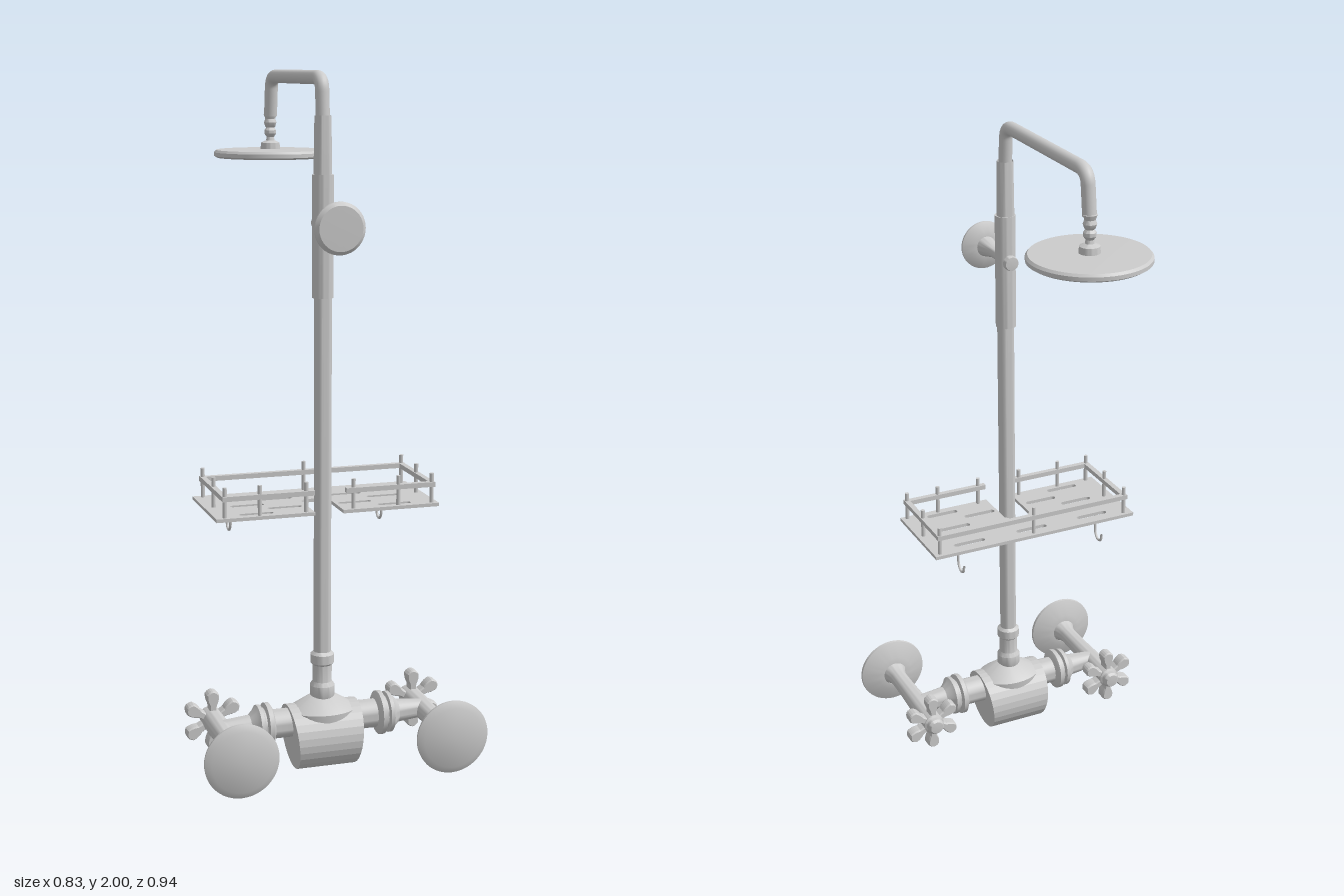
import * as THREE from 'three';
import { toCreasedNormals } from 'three/addons/utils/BufferGeometryUtils.js';

const material = new THREE.MeshStandardMaterial({ color: 0xcccccc, side: THREE.DoubleSide });
const CX = -0.005; // column x
const CZ = 0.225;  // column z
const LEG_Y = 0.14;

function add(parent, name, geometry, x = 0, y = 0, z = 0) {
  const mesh = new THREE.Mesh(geometry, material);
  mesh.name = name;
  mesh.position.set(x, y, z);
  parent.add(mesh);
  return mesh;
}

// Turned part: profile is [radius, distance along the axis]
function turned(profile, axis = 'y', sides = 32) {
  const points = profile.map(([r, t]) => new THREE.Vector2(r, t));
  const g = new THREE.LatheGeometry(points, sides);
  if (axis === 'z') g.rotateX(Math.PI / 2);
  if (axis === 'x') g.rotateZ(-Math.PI / 2);
  return toCreasedNormals(g, 0.6);
}

function addColumn(root) {
  const column = new THREE.Group();
  column.name = 'column';
  root.add(column);
  add(column, 'riserPipe', turned([[0.025, 0.3], [0.025, 1.4]]), CX, 0, CZ);
  add(column, 'baseCollars', turned([
    [0.028, 0.2], [0.036, 0.22], [0.036, 0.25], [0.028, 0.262], [0.028, 0.312],
    [0.034, 0.318], [0.034, 0.344], [0.025, 0.352],
  ]), CX, 0, CZ);
  add(column, 'sleeve', turned([
    [0.024, 1.38], [0.03, 1.38], [0.03, 1.72], [0.024, 1.72],
  ]), CX, 0, CZ - 0.002);
  add(column, 'upperPipe', turned([[0.026, 1.7], [0.0235, 1.88]]), CX, 0, CZ - 0.005);

  // Overhead arm with a tight elbow at each end
  const v = (y, z) => new THREE.Vector3(CX, y, z);
  const path = new THREE.CurvePath();
  path.add(new THREE.LineCurve3(v(1.86, 0.22), v(1.945, 0.213)));
  path.add(new THREE.QuadraticBezierCurve3(v(1.945, 0.213), v(1.982, 0.21), v(1.982, 0.17)));
  path.add(new THREE.LineCurve3(v(1.982, 0.17), v(1.982, -0.24)));
  path.add(new THREE.QuadraticBezierCurve3(v(1.982, -0.24), v(1.982, -0.285), v(1.945, -0.289)));
  path.add(new THREE.LineCurve3(v(1.945, -0.289), v(1.865, -0.299)));
  add(column, 'overheadArm', new THREE.TubeGeometry(path, 120, 0.0195, 20));
}

function addShowerHead(root) {
  add(root, 'swivelJoint', turned([
    [0, 1.875], [0.02, 1.87], [0.015, 1.856], [0.019, 1.845], [0.015, 1.833], [0.012, 1.83],
    [0.018, 1.822], [0.018, 1.812], [0.011, 1.802], [0.013, 1.792], [0.028, 1.785], [0.03, 1.764],
  ].reverse()), CX, 0, -0.302);
  add(root, 'showerHead', turned([
    [0, 1.741], [0.162, 1.741], [0.17, 1.746], [0.17, 1.757], [0.164, 1.764], [0, 1.767],
  ], 'y', 64), CX, 0, -0.302);
}

function addWallBracket(root) {
  const bracket = new THREE.Group();
  bracket.name = 'wallBracket';
  bracket.position.set(CX, 1.585, 0);
  root.add(bracket);
  add(bracket, 'bracketStem', turned([
    [0, 0.174], [0.02, 0.176], [0.022, 0.182], [0.022, 0.192], [0.017, 0.198],
    [0.017, 0.3], [0.031, 0.358],
  ], 'z'));
  add(bracket, 'bracketFlange', turned([
    [0.03, 0.355], [0.047, 0.357], [0.072, 0.37], [0.072, 0.376], [0.062, 0.386], [0, 0.387],
  ], 'z', 40));
}

function addShelf(root) {
  const shelf = new THREE.Group();
  shelf.name = 'shelf';
  root.add(shelf);

  // Slotted plate, notched around the column
  const outline = [
    [-0.333, 0.01], [0.325, 0.01], [0.325, 0.29], [0.037, 0.29], [0.037, 0.155],
    [0.024, 0.138], [-0.034, 0.138], [-0.047, 0.155], [-0.047, 0.29], [-0.333, 0.29],
  ];
  const shape = new THREE.Shape(outline.map(([x, z]) => new THREE.Vector2(x, -z)));
  const rows = [
    [0.052, [-0.21, -0.005, 0.2]], [0.108, [-0.113, 0.098]], [0.16, [-0.21, 0.2]],
    [0.21, [-0.113, 0.096]], [0.258, [-0.21, 0.2]],
  ];
  for (const [z, xs] of rows) for (const x of xs) {
    const slot = new THREE.Path();
    slot.absarc(x + 0.041, -z, 0.009, -Math.PI / 2, Math.PI / 2, false);
    slot.absarc(x - 0.041, -z, 0.009, Math.PI / 2, Math.PI * 1.5, false);
    slot.closePath();
    shape.holes.push(slot);
  }
  const plate = new THREE.ExtrudeGeometry(shape, { depth: 0.01, bevelEnabled: false, curveSegments: 8 });
  plate.rotateX(-Math.PI / 2);
  add(shelf, 'shelfPlate', plate, 0, 0.774, 0);

  // Guard rails: [centre x, centre z, length x, length z]
  const rails = [
    [0, 0.025, 0.63, 0.016], [-0.306, 0.152, 0.016, 0.27], [0.306, 0.152, 0.016, 0.27],
    [-0.18, 0.278, 0.266, 0.016], [0.18, 0.278, 0.266, 0.016],
  ];
  for (const [x, z, w, d] of rails) {
    add(shelf, 'guardRail', new THREE.BoxGeometry(w, 0.014, d), x, 0.838, z);
  }
  const posts = [[-0.306, 0.025], [0, 0.025], [0.306, 0.025], [-0.306, 0.152], [0.306, 0.152]];
  for (const x of [-0.306, -0.205, -0.07, 0.07, 0.205, 0.306]) posts.push([x, 0.278]);
  for (const [x, z] of posts) {
    add(shelf, 'railPost', new THREE.CylinderGeometry(0.006, 0.006, 0.092, 10), x, 0.824, z);
  }

  // Hooks hanging under the plate
  for (const x of [-0.238, 0.225]) {
    const hook = new THREE.CatmullRomCurve3([
      [0.776, 0.08], [0.735, 0.08], [0.705, 0.077], [0.69, 0.062], [0.695, 0.043], [0.715, 0.037],
    ].map(([y, z]) => new THREE.Vector3(x, y, z)));
    add(shelf, 'hook', new THREE.TubeGeometry(hook, 28, 0.004, 8));
  }
}

function addValve(root) {
  // Barrel lying across, its ends leaning in towards the bottom
  const barrel = new THREE.CylinderGeometry(0.095, 0.095, 0.2, 28);
  barrel.rotateZ(Math.PI / 2);
  const p = barrel.attributes.position;
  for (let i = 0; i < p.count; i++) p.setX(i, p.getX(i) * (0.96 + 1.0 * p.getY(i)));
  add(root, 'valveBody', toCreasedNormals(barrel, 0.15), CX, 0.1, CZ);
  const neck = add(root, 'valveNeck', turned([
    [0, 0.14], [0.1, 0.145], [0.103, 0.18], [0.034, 0.222], [0, 0.222],
  ]), CX, 0, CZ);
  neck.scale.z = 0.75;
}

// One side inlet: cross pipe, wall leg, flange and cross handle
function addInlet(root, side) {
  const inlet = new THREE.Group();
  inlet.name = side > 0 ? 'leftInlet' : 'rightInlet';
  inlet.position.set(side * 0.31, LEG_Y, 0);
  root.add(inlet);

  const pipe = add(inlet, 'crossPipe', turned([
    [0.042, 0.07], [0.042, 0.156], [0.056, 0.16], [0.064, 0.165], [0.064, 0.178], [0.05, 0.182],
    [0.05, 0.187], [0.06, 0.191], [0.06, 0.202], [0.048, 0.21], [0.034, 0.225], [0.026, 0.31],
  ], 'x'), -side * 0.31, 0.004, CZ);
  if (side < 0) pipe.rotation.y = Math.PI;

  add(inlet, 'wallLeg', turned([
    [0, 0.076], [0.02, 0.078], [0.026, 0.086], [0.026, 0.098], [0.032, 0.102], [0.032, 0.2],
    [0.028, 0.32], [0.027, 0.4], [0.032, 0.42], [0.04, 0.438],
  ], 'z'));
  add(inlet, 'wallFlange', turned([
    [0.038, 0.43], [0.058, 0.432], [0.106, 0.453], [0.107, 0.461], [0.088, 0.471], [0, 0.472],
  ], 'z', 48));

  // Six paddles widening outwards
  const paddle = new THREE.Shape();
  paddle.moveTo(-0.009, 0.015);
  paddle.lineTo(-0.011, 0.045);
  paddle.quadraticCurveTo(-0.02, 0.062, -0.018, 0.078);
  paddle.quadraticCurveTo(0, 0.1, 0.018, 0.078);
  paddle.quadraticCurveTo(0.02, 0.062, 0.011, 0.045);
  paddle.lineTo(0.009, 0.015);
  paddle.closePath();
  const blade = new THREE.ExtrudeGeometry(paddle, {
    depth: 0.028, bevelThickness: 0.005, bevelSize: 0.003, bevelOffset: -0.003,
    bevelSegments: 1, curveSegments: 6,
  });
  for (let i = 0; i < 6; i++) {
    add(inlet, 'handlePaddle', blade, 0, 0, 0.11).rotation.z = (i * Math.PI) / 3;
  }
}

export function createModel() {
  const root = new THREE.Group();
  root.name = 'showerColumn';
  addColumn(root);
  addShowerHead(root);
  addWallBracket(root);
  addShelf(root);
  addValve(root);
  for (const side of [-1, 1]) addInlet(root, side);
  return root;
}
